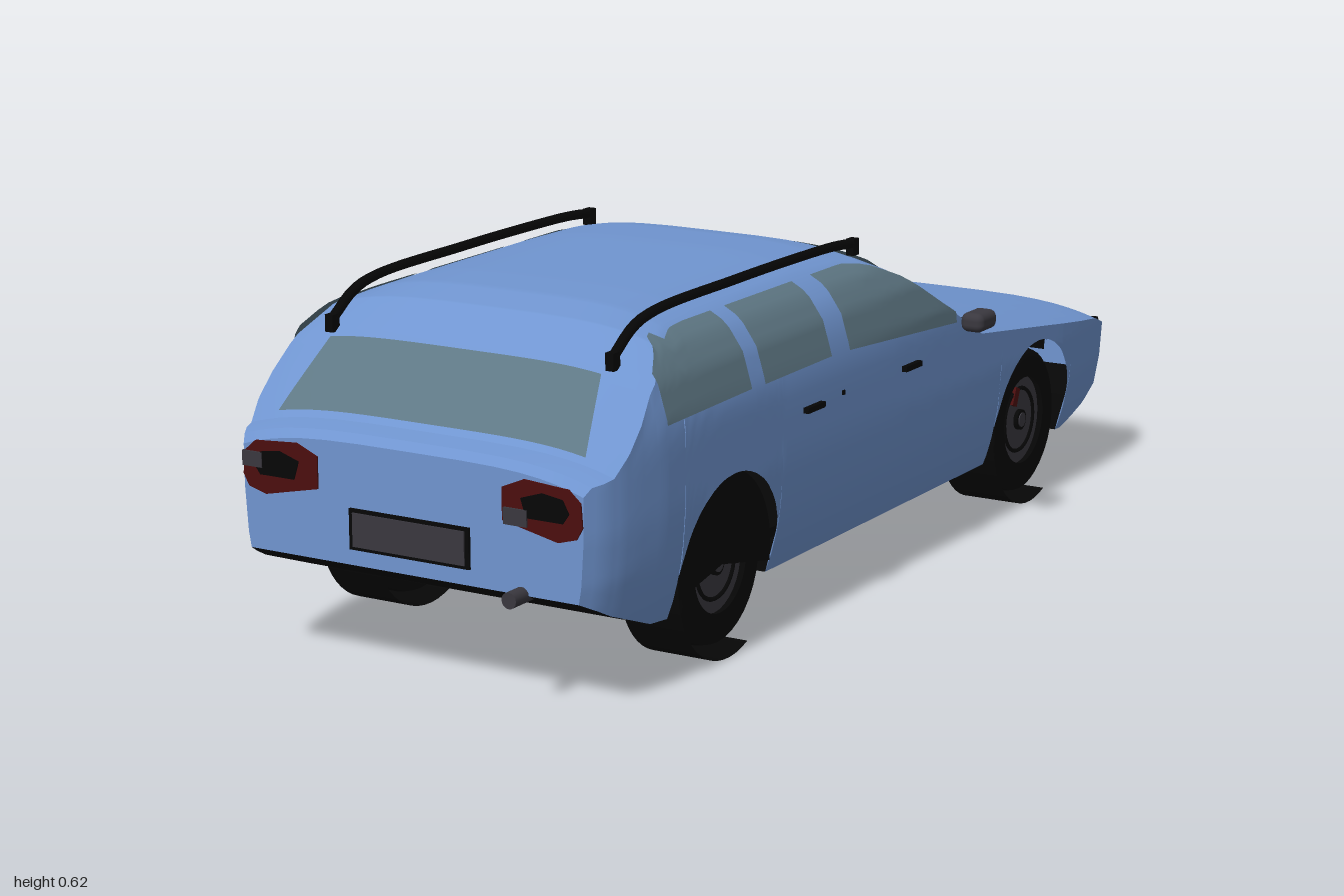
import * as THREE from 'three';
import { toCreasedNormals } from 'three/addons/utils/BufferGeometryUtils.js';
import { RoundedBoxGeometry } from 'three/addons/geometries/RoundedBoxGeometry.js';

const material = (name, color) =>
  new THREE.MeshStandardMaterial({ name, color, side: THREE.DoubleSide });
const paint = material('bluePaint', 0x7095d0);
const glass = material('tintedGlass', 0x5f7885);
const black = material('blackTrim', 0x060606);
const grey = material('darkGrey', 0x3a383f);
const red = material('darkRed', 0x4c0e0e);

const V = (x, y, z) => new THREE.Vector3(x, y, z);

// Linear interpolation in a table of [key, value] pairs
function lookup(table, k) {
  if (k <= table[0][0]) return table[0][1];
  for (let i = 1; i < table.length; i++) {
    const [k0, v0] = table[i - 1], [k1, v1] = table[i];
    if (k <= k1) return v0 + (v1 - v0) * (k - k0) / (k1 - k0);
  }
  return table[table.length - 1][1];
}

// Body rules: centre-line height, plan taper, underside height, half width by height
const TOP = [[-0.995, 0.285], [-0.96, 0.297], [-0.88, 0.322], [-0.6, 0.361], [-0.35, 0.395],
  [-0.2, 0.477], [-0.08, 0.55], [0, 0.583], [0.06, 0.592], [0.2, 0.597], [0.55, 0.594],
  [0.65, 0.59], [0.72, 0.574], [0.8, 0.515], [0.91, 0.402], [0.95, 0.394], [0.963, 0.38]];
const TAPER = [[-0.995, 0.87], [-0.95, 0.925], [-0.88, 0.965], [-0.8, 0.99], [-0.7, 1],
  [0.78, 1], [0.88, 0.975], [0.93, 0.94], [0.963, 0.89]];
const UNDER = [[-0.995, 0.16], [-0.9, 0.12], [-0.78, 0.085], [-0.7, 0.09], [0.7, 0.085],
  [0.78, 0.095], [0.9, 0.14], [0.963, 0.172]];
const WIDTH = [[0.07, 0.335], [0.1, 0.348], [0.14, 0.36], [0.2, 0.372], [0.28, 0.378], [0.41, 0.378],
  [0.44, 0.375], [0.5, 0.357], [0.545, 0.325], [0.575, 0.27], [0.59, 0.22]];
const WHEEL_Z = [-0.595, 0.56], ARCH_R = 0.162, ARCH_Y = 0.142, CROWN = 0.03;

const edgeY = z => lookup(TOP, z) - CROWN;
const sideX = (y, z) => lookup(WIDTH, y) * lookup(TAPER, z);
const topY = (x, z) => edgeY(z) + CROWN * (1 - Math.min(1, Math.abs(x) / sideX(edgeY(z), z)) ** 4);

function bottomY(z) {
  let y = lookup(UNDER, z);
  for (const c of WHEEL_Z) {
    const d = Math.abs(z - c);
    if (d <= ARCH_R) y = Math.max(y, ARCH_Y + Math.sqrt(Math.max(0, ARCH_R ** 2 - d * d)));
  }
  return y;
}

// Surface through a grid of points
function gridGeometry(rows) {
  const n = rows[0].length, index = [];
  for (let i = 0; i + 1 < rows.length; i++)
    for (let j = 0; j + 1 < n; j++) {
      const a = i * n + j, c = a + n;
      index.push(a, a + 1, c, a + 1, c + 1, c);
    }
  const g = new THREE.BufferGeometry().setFromPoints(rows.flat());
  g.setIndex(index);
  g.computeVertexNormals();
  return g;
}

function patch(nu, nv, f) {
  const rows = [];
  for (let i = 0; i <= nu; i++) {
    rows.push([]);
    for (let j = 0; j <= nv; j++) rows[i].push(f(i / nu, j / nv));
  }
  return gridGeometry(rows);
}

function section(z) {
  const half = [], yB = bottomY(z), yE = edgeY(z);
  for (let i = 0; i <= 14; i++) {
    const y = yB + (yE - yB) * i / 14;
    half.push(V(sideX(y, z), y, z));
  }
  const xE = sideX(yE, z);
  for (const s of [0.96, 0.91, 0.84, 0.75, 0.64, 0.5, 0.3, 0]) half.push(V(xE * s, topY(xE * s, z), z));
  return [...half, ...half.slice(0, -1).reverse().map(p => V(-p.x, p.y, z))];
}

export function createModel() {
  const car = new THREE.Group();
  car.name = 'estateCar';
  const add = (name, geo, mat, x = 0, y = 0, z = 0, parent = car) => {
    const m = new THREE.Mesh(geo, mat);
    m.name = name;
    m.position.set(x, y, z);
    parent.add(m);
    return m;
  };
  const box = (name, w, h, d, mat, x, y, z, parent) =>
    add(name, new THREE.BoxGeometry(w, h, d), mat, x, y, z, parent);
  const plate = (name, pts, mat, z, depth = 0.005) =>
    add(name, new THREE.ExtrudeGeometry(new THREE.Shape(pts.map(p => new THREE.Vector2(...p))),
      { depth, bevelEnabled: false }), mat, 0, 0, z);

  // Body shell with open wheel arches
  const stations = new Set([...TOP, ...TAPER, ...UNDER].map(p => p[0]));
  for (let z = -0.98; z < 0.96; z += 0.035) stations.add(z);
  for (const c of WHEEL_Z) {
    for (let i = 0; i <= 20; i++) stations.add(c - ARCH_R * Math.cos(Math.PI * i / 20));
    stations.add(c - ARCH_R - 0.001).add(c + ARCH_R + 0.001);
  }
  const zs = [...stations].sort((a, b) => a - b);
  add('bodyShell', toCreasedNormals(gridGeometry(zs.map(section)), 0.5), paint);
  for (const [name, z] of [['nosePanel', -0.995], ['tailPanel', 0.963]]) {
    const s = section(z), n = s.length;
    add(name, gridGeometry(s.slice(0, (n + 1) / 2).map((p, i) =>
      z > 0 ? [s[n - 1 - i], p] : [p, s[n - 1 - i]]).reverse()), paint);
  }

  // Underside
  add('underside', gridGeometry(zs.map(z => {
    const y = lookup(UNDER, z);
    const x = WHEEL_Z.some(c => Math.abs(z - c) <= ARCH_R) ? 0.25 : sideX(y, z);
    return [V(x, y, z), V(-x, y, z)];
  })), black);
  box('floorPan', 0.49, 0.04, 1.44, black, 0, 0.085, -0.02);

  // Windscreen and rear window
  const screen = (name, z0, z1, x0, x1, dz) => add(name, patch(16, 24, (u, v) => {
    const z = z0 + (z1 - z0) * u, x = (x0 + (x1 - x0) * u) * (2 * v - 1);
    return V(x, topY(x, z) + 0.005, z + dz);
  }), glass);
  screen('windscreen', -0.345, -0.04, 0.32, 0.272, -0.003);
  screen('rearWindow', 0.903, 0.8, 0.305, 0.27, 0.004);

  // Side windows: z range, lower edge at both ends
  const windows = [['rearQuarterWindow', 0.51, 0.78, 0.437, 0.432],
    ['rearDoorWindow', 0.235, 0.465, 0.438, 0.436], ['frontDoorWindow', -0.235, 0.17, 0.408, 0.436]];
  const tyre = new THREE.LatheGeometry([[0.085, -0.042], [0.125, -0.043], [0.138, -0.036], [0.142, -0.02],
    [0.142, 0.02], [0.138, 0.036], [0.125, 0.043], [0.085, 0.042]].map(p => new THREE.Vector2(...p)), 36);
  tyre.rotateZ(-Math.PI / 2);

  for (const side of [1, -1]) {
    const label = side > 0 ? 'left' : 'right';
    for (const [name, z0, z1, y0, y1] of windows)
      add(label + name, patch(18, 10, (u, v) => {
        const z = z0 + (z1 - z0) * u, lo = y0 + (y1 - y0) * u;
        const hi = Math.max(lo, Math.min(0.562, edgeY(z) + (z > 0.7 ? 0.015 : 0)));
        const y = lo + (hi - lo) * v;
        return V(side * (sideX(y, z) + 0.005), y + 0.001, z);
      }), glass);

    // Wheels and arch liners
    WHEEL_Z.forEach((z, i) => {
      const wheel = new THREE.Group();
      wheel.name = label + (i ? 'RearWheel' : 'FrontWheel');
      wheel.position.set(side * 0.307, 0.142, z);
      car.add(wheel);
      add('tyre', tyre, black, 0, 0, 0, wheel);
      const disc = (name, r, w, x, mat) =>
        add(name, new THREE.CylinderGeometry(r, r, w, 32).rotateZ(Math.PI / 2), mat, side * x, 0, 0, wheel);
      disc('rim', 0.087, 0.06, 0, grey);
      add('rimRing', new THREE.TorusGeometry(0.062, 0.004, 6, 32).rotateY(Math.PI / 2), black, side * 0.031, 0, 0, wheel);
      disc('hub', 0.02, 0.01, 0.033, black);
      disc('hubCap', 0.014, 0.012, 0.034, grey);
      if (!i) box('brakeCaliper', 0.01, 0.036, 0.018, red, side * 0.032, 0.05, 0.022, wheel).rotation.x = -0.4;

      const arch = new THREE.CylinderGeometry(ARCH_R, ARCH_R, 0.115, 32, 1, true, -0.4, Math.PI + 0.8);
      add(label + 'ArchLiner', arch.rotateZ(Math.PI / 2).rotateX(Math.PI / 2).rotateX(
        // turn the open part of the shell to the ground
        arch.attributes.position.array.filter((_, k) => k % 3 === 1).reduce((a, b) => a + b, 0) < 0 ? Math.PI : 0),
      black, side * 0.307, ARCH_Y, z);
      const wall = new THREE.CircleGeometry(ARCH_R, 32, -0.4, Math.PI + 0.8).rotateY(Math.PI / 2);
      add(label + 'ArchWall', wall, black, side * 0.25, ARCH_Y, z);
      if (i) add(label + 'RearArchCover', new THREE.CircleGeometry(ARCH_R, 32, -0.2, Math.PI + 0.4)
        .rotateY(Math.PI / 2), black, side * 0.352, ARCH_Y, z);
    });

    // Mirrors, handles and roof rails
    add(label + 'Mirror', new RoundedBoxGeometry(0.046, 0.036, 0.07, 3, 0.014), grey, side * 0.413, 0.411, -0.265);
    box(label + 'MirrorArm', 0.03, 0.012, 0.018, black, side * 0.383, 0.402, -0.275);
    for (const z of [0.3, -0.06]) box(label + 'DoorHandle', 0.014, 0.01, 0.06, black, side * 0.381, 0.362, z);
    box(label + 'DoorLock', 0.006, 0.008, 0.008, black, side * 0.378, 0.365, 0.19);
    const rail = new THREE.CatmullRomCurve3([[0.535, 0.785], [0.573, 0.725], [0.588, 0.66], [0.593, 0.4],
      [0.593, 0.2], [0.59, 0.05], [0.584, -0.02]].map(([y, z]) => V(side * 0.28, y, z)));
    add(label + 'RoofRail', new THREE.TubeGeometry(rail, 40, 0.009, 8), black);
    for (const p of [rail.getPoint(0), rail.getPoint(1)])
      box(label + 'RailFoot', 0.016, 0.03, 0.02, black, p.x, p.y - 0.006, p.z);

    // Tail lamps and headlamps
    const mirror = pts => pts.map(([x, y]) => [side * x, y]);
    plate(label + 'TailLamp', mirror([[0.183, 0.348], [0.225, 0.366], [0.31, 0.36], [0.333, 0.34],
      [0.336, 0.3], [0.325, 0.28], [0.29, 0.27], [0.183, 0.293]]), red, 0.962, 0.004);
    plate(label + 'TailLampInner', mirror([[0.22, 0.335], [0.26, 0.348], [0.3, 0.342], [0.312, 0.32],
      [0.3, 0.303], [0.23, 0.303]]), black, 0.963);
    plate(label + 'Headlamp', mirror([[0.205, 0.262], [0.318, 0.268], [0.322, 0.225], [0.3, 0.212],
      [0.205, 0.222]]), black, -0.998, 0.004);
    plate(label + 'HeadlampLens', mirror([[0.22, 0.255], [0.3, 0.26], [0.305, 0.232], [0.22, 0.23]]),
      grey, -0.9995, 0.004);
  }
  box('leftReverseLamp', 0.045, 0.028, 0.008, grey, 0.21, 0.302, 0.966);
  box('rightReverseLamp', 0.04, 0.026, 0.008, grey, -0.315, 0.328, 0.966);

  // Blank number plate
  box('plateFrame', 0.238, 0.07, 0.008, black, 0, 0.235, 0.964);
  box('plateBlank', 0.222, 0.058, 0.009, grey, 0, 0.235, 0.966);

  // Grille with horizontal bars
  box('grille', 0.4, 0.06, 0.006, black, 0, 0.217, -0.996);
  for (let i = 0; i < 4; i++) box('grilleBar', 0.39, 0.006, 0.005, grey, 0, 0.196 + i * 0.014, -0.9975);

  // Exhaust
  add('exhaust', new THREE.CylinderGeometry(0.014, 0.014, 0.16, 16).rotateX(Math.PI / 2), grey, 0.217, 0.172, 0.92);
  return car;
}
